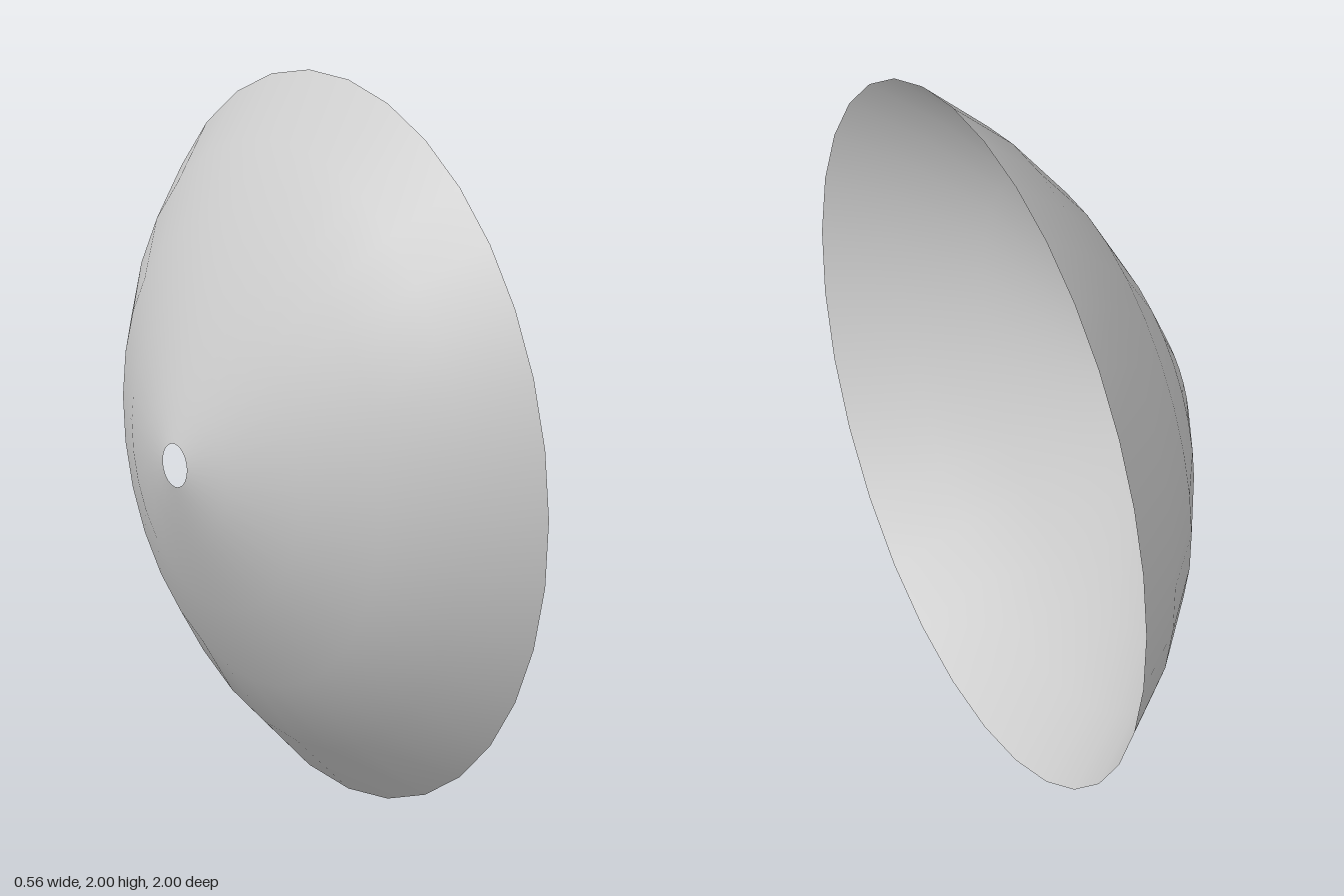
import * as THREE from 'three';

export function createModel() {
  const group = new THREE.Group();
  group.name = 'dish';

  // Dish profile: radius from the axis, position along x (central hole to rim)
  const profile = [
    [0.06, -0.28], [0.2, -0.24], [0.42, -0.147],
    [0.645, -0.03], [0.838, 0.113], [1, 0.28],
  ].map(([r, x]) => new THREE.Vector2(r, x));

  // Thin open bowl, turned so its mouth faces +x
  const geometry = new THREE.LatheGeometry(profile, 32);
  geometry.rotateZ(-Math.PI / 2);

  const material = new THREE.MeshStandardMaterial({ color: 0xcccccc, side: THREE.DoubleSide });
  const bowl = new THREE.Mesh(geometry, material);
  bowl.name = 'reflectorBowl';
  bowl.position.y = 1;
  group.add(bowl);

  return group;
}
